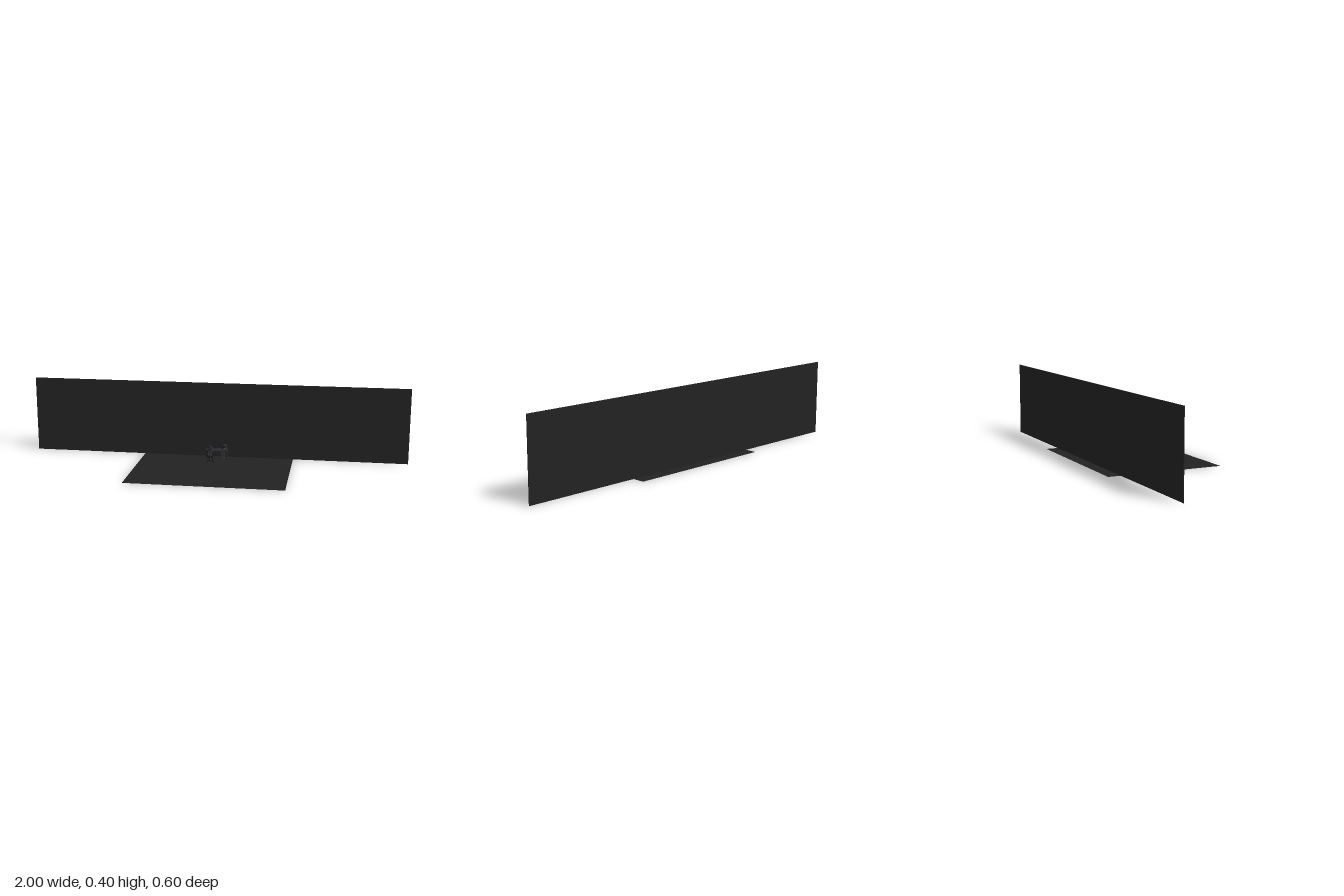
import * as THREE from 'three';
import { RoundedBoxGeometry } from 'three/addons/geometries/RoundedBoxGeometry.js';

const mat = (name, color, side = THREE.FrontSide) => {
  const m = new THREE.MeshStandardMaterial({ color, side });
  m.name = name;
  return m;
};

export function createModel() {
  const wallGrey = mat('wallGrey', 0x222222, THREE.DoubleSide);
  const black = mat('black', 0x16161a);
  const cloth = mat('darkCloth', 0x292930);
  const casing = mat('casingGrey', 0x3a3a43);
  const desktop = mat('deskGrey', 0x2b2b30);
  const screenMat = mat('screen', 0x202028);
  const metal = mat('metal', 0x55555c);

  const model = new THREE.Group();
  model.name = 'deskScene';

  const put = (parent, name, geo, m, x = 0, y = 0, z = 0) => {
    const mesh = new THREE.Mesh(geo, m);
    mesh.name = name;
    mesh.position.set(x, y, z);
    parent.add(mesh);
    return mesh;
  };
  const box = (p, name, m, w, h, d, x, y, z) =>
    put(p, name, new THREE.BoxGeometry(w, h, d), m, x, y, z);
  const round = (p, name, m, w, h, d, x, y, z, r) =>
    put(p, name, new RoundedBoxGeometry(w, h, d, 3, r), m, x, y, z);
  const rod = (p, name, m, r, ...pts) => {
    const curve = new THREE.CatmullRomCurve3(pts.map(a => new THREE.Vector3(...a)));
    return put(p, name, new THREE.TubeGeometry(curve, 16, r, 8), m);
  };
  // Tapered limb with rounded ends
  const limb = (p, name, m, a, b, ra, rb) => {
    const A = new THREE.Vector3(...a), B = new THREE.Vector3(...b);
    const dir = B.clone().sub(A);
    const mesh = put(p, name, new THREE.CylinderGeometry(rb, ra, dir.length(), 12), m);
    mesh.position.copy(A).add(B).multiplyScalar(0.5);
    mesh.quaternion.setFromUnitVectors(new THREE.Vector3(0, 1, 0), dir.normalize());
    put(p, name + 'Start', new THREE.SphereGeometry(ra, 12, 8), m, ...a);
    put(p, name + 'End', new THREE.SphereGeometry(rb, 12, 8), m, ...b);
  };

  // Room: thin back wall and single-sheet floor
  box(model, 'backWall', wallGrey, 2, 0.4, 0.003, 0, 0.2, -0.235);
  const floor = put(model, 'floor', new THREE.PlaneGeometry(0.8, 0.6), wallGrey);
  floor.rotation.x = -Math.PI / 2;

  // Furniture is laid out in hundredths of a unit
  const set = new THREE.Group();
  set.name = 'workplace';
  set.scale.setScalar(0.01);
  model.add(set);
  const group = (name, x = 0, y = 0, z = 0) => {
    const g = new THREE.Group();
    g.name = name;
    g.position.set(x, y, z);
    set.add(g);
    return g;
  };

  // Desk: top, left legs, back panel and drawer cabinet
  const desk = group('desk');
  box(desk, 'deskTop', desktop, 11.5, 0.3, 4.9, -0.2, 4.9, -19.4);
  for (const z of [-17.2, -21.5]) {
    box(desk, 'deskLeg', black, 0.25, 4.75, 0.25, -5.7, 2.38, z);
    box(desk, 'deskLeg', black, 0.25, 4.75, 0.25, 5.35, 2.38, z);
  }
  box(desk, 'deskRail', black, 11, 0.4, 0.15, -0.2, 4.5, -21.4);
  box(desk, 'drawerCabinet', casing, 2.6, 4.5, 3.6, 3.9, 2.35, -19.5);
  for (let i = 0; i < 3; i++) {
    box(desk, 'drawerFront', desktop, 2.4, 1.35, 0.08, 3.9, 0.9 + i * 1.45, -17.67);
    box(desk, 'drawerHandle', metal, 0.9, 0.1, 0.12, 3.9, 1.2 + i * 1.45, -17.58);
  }

  // Computer tower with front grille and fan
  const tower = group('computer', 4.2, 5.05, -18.4);
  box(tower, 'case', casing, 1.4, 2.7, 2.3, 0, 1.35, 0);
  box(tower, 'frontPanel', black, 1.2, 2.5, 0.08, 0, 1.35, 1.16);
  for (let i = 0; i < 5; i++) box(tower, 'slot', metal, 0.9, 0.06, 0.05, 0, 0.4 + i * 0.3, 1.2);
  put(tower, 'fanRing', new THREE.TorusGeometry(0.4, 0.05, 6, 20), black, 0, 1.6, -1.16);

  // Monitors: one upright and two landscape
  const monitor = (name, x, y, z, w, h, yaw) => {
    const g = group(name, x, 0, z);
    g.rotation.y = yaw;
    box(g, 'frame', black, w, h, 0.35, 0, y, 0);
    box(g, 'screen', screenMat, w - 0.25, h - 0.25, 0.06, 0, y, 0.17);
    box(g, 'rearBulge', casing, w * 0.5, h * 0.4, 0.3, 0, y, -0.3);
    box(g, 'stand', black, 0.3, y - 5, 0.2, 0, (y + 5) / 2, -0.4);
    box(g, 'standFoot', black, 1.5, 0.12, 1.1, 0, 5.1, -0.3);
  };
  monitor('uprightMonitor', -4.9, 7.9, -20.2, 2.4, 4.1, 0.25);
  monitor('mainMonitor', -1.5, 7.2, -20.5, 4.2, 2.5, 0);
  monitor('sideMonitor', 2.6, 7.2, -20.3, 3.8, 2.5, -0.2);

  // Keyboard and mouse
  const input = group('inputDevices');
  box(input, 'keyboard', black, 2.6, 0.14, 0.9, -2.6, 5.12, -18);
  for (let r = 0; r < 3; r++)
    for (let c = 0; c < 8; c++)
      box(input, 'key', casing, 0.24, 0.06, 0.2, -3.65 + c * 0.3, 5.21, -18.26 + r * 0.26);
  const mouse = put(input, 'mouse', new THREE.SphereGeometry(0.25, 12, 8), black, -0.6, 5.1, -17.9);
  mouse.scale.set(0.8, 0.7, 1.3);

  // Cables hanging behind the desk
  for (const x of [-4.5, -1.5, 2.6])
    rod(input, 'cable', black, 0.06, [x, 6.8, -20.9], [x, 7, -21.5], [x + 0.1, 4.8, -22], [x + 0.3, 2, -22.1], [x + 0.4, 0.1, -21.8]);

  // Swivel chair, facing the desk
  const chair = group('chair', -2.7, 0, -12.3);
  for (let i = 0; i < 5; i++) {
    const a = i * Math.PI * 0.4, s = Math.sin(a), c = Math.cos(a);
    rod(chair, 'baseArm', black, 0.14, [0, 0.75, 0], [s, 0.6, c], [s * 1.8, 0.45, c * 1.8]);
    const wheel = put(chair, 'caster', new THREE.CylinderGeometry(0.22, 0.22, 0.3, 12), black, s * 1.8, 0.23, c * 1.8);
    wheel.rotation.set(0, a, Math.PI / 2);
  }
  put(chair, 'gasLift', new THREE.CylinderGeometry(0.16, 0.22, 2.2, 12), metal, 0, 1.7, 0);
  round(chair, 'seat', black, 2.9, 0.45, 2.9, 0, 2.95, -0.2, 0.2);
  rod(chair, 'backSupport', black, 0.14, [0, 2.8, 1], [0, 3.2, 1.4], [0, 5, 1.5], [0, 6.8, 2]);
  for (const s of [-1, 1]) {
    rod(chair, 'backFrame', black, 0.12, [s * 1.1, 3.4, 1], [s * 1.25, 5, 1.4], [s * 0.95, 6.3, 1.8]);
    rod(chair, 'armSupport', black, 0.12, [s * 1.4, 2.9, 0.2], [s * 1.65, 3.4, 0.2], [s * 1.65, 4.5, 0.1]);
    round(chair, 'armRest', black, 0.4, 0.2, 1.6, s * 1.65, 4.6, -0.1, 0.09);
  }
  for (let i = 0; i < 6; i++)
    box(chair, 'backSlat', casing, 2.3, 0.3, 0.1, 0, 3.6 + i * 0.5, 1.05 + i * 0.14);
  round(chair, 'headRest', black, 1.7, 0.6, 0.35, 0, 6.95, 2.0, 0.15);

  // Seated person in a hooded top
  const person = group('person', -2.7, 0, -13.8);
  const torso = put(person, 'torso', new THREE.LatheGeometry(
    [[0, 0], [0.95, 0.05], [1.1, 0.6], [1.05, 1.5], [1.15, 2.3], [0.95, 2.9], [0.45, 3.3], [0, 3.4]]
      .map(p => new THREE.Vector2(...p)), 20), cloth, 0, 3.15, 0.1);
  torso.scale.z = 0.85;
  torso.rotation.x = -0.08;
  const hood = put(person, 'hood', new THREE.SphereGeometry(0.95, 18, 14), cloth, 0, 7.2, -0.25);
  hood.scale.set(0.85, 1.1, 0.95);
  const face = put(person, 'face', new THREE.SphereGeometry(0.6, 14, 10), black, 0, 7.1, -0.72);
  face.scale.set(0.85, 1.15, 0.8);
  const collar = put(person, 'hoodCollar', new THREE.TorusGeometry(0.65, 0.28, 8, 20), cloth, 0, 6.3, -0.1);
  collar.rotation.x = Math.PI / 2;
  for (const s of [-1, 1]) {
    limb(person, 'upperArm', cloth, [s * 1.0, 5.9, 0], [s * 1.35, 4.7, -0.9], 0.42, 0.36);
    limb(person, 'foreArm', cloth, [s * 1.35, 4.7, -0.9], [s * 0.8, 5.15, -3.3], 0.36, 0.25);
    const hand = put(person, 'hand', new THREE.SphereGeometry(0.26, 10, 8), casing, s * 0.75, 5.25, -3.75);
    hand.scale.set(0.9, 0.6, 1.4);
    limb(person, 'thigh', black, [s * 0.55, 3.55, 0], [s * 0.75, 3.2, -1.55], 0.55, 0.45);
    limb(person, 'shin', black, [s * 0.75, 3.2, -1.55], [s * 0.75, 0.6, -1.5], 0.42, 0.28);
    round(person, 'shoe', black, 0.6, 0.45, 1.4, s * 0.75, 0.23, -1.8, 0.18);
  }
  return model;
}
